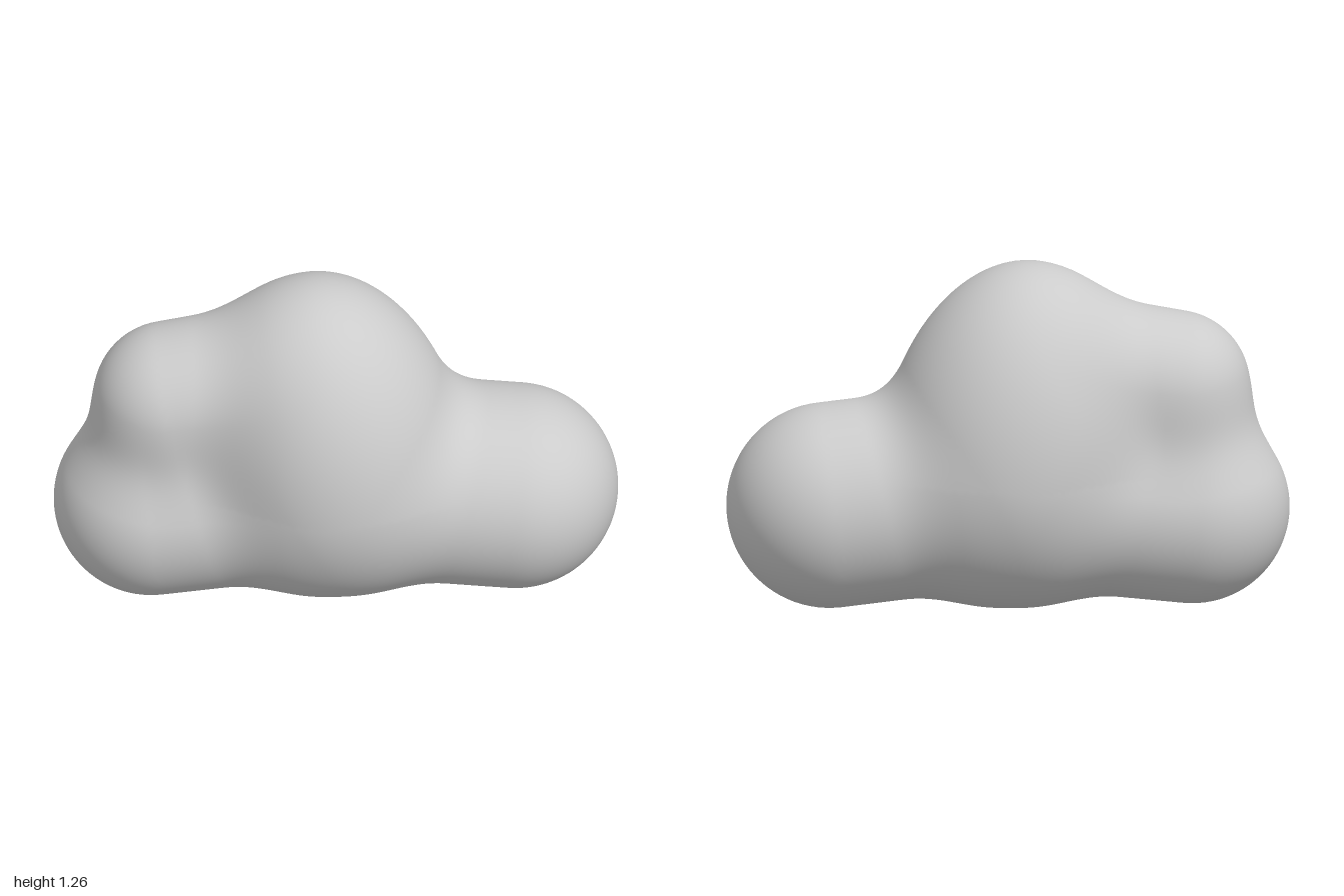
import * as THREE from 'three';

const V = (x, y, z = 0) => new THREE.Vector3(x, y, z);

// Distance to a rounded bar from a to b
function capsule(p, a, b, r) {
  const ab = b.clone().sub(a);
  const h = THREE.MathUtils.clamp(p.clone().sub(a).dot(ab) / ab.lengthSq(), 0, 1);
  return p.distanceTo(a.clone().addScaledVector(ab, h)) - r;
}

// Distance to the tall egg: taller above its waist than below, leaning a little to -x
function egg(p) {
  const y = p.y - 0.54;
  const q = V(p.x + 0.01 + 0.085 * Math.max(y, 0), y, p.z);
  const radii = V(0.472, y > 0 ? 0.715 : 0.538, 0.472);
  const a = q.clone().divide(radii);
  const k = a.length();
  return k * (k - 1) / a.divide(radii).length();
}

// Soft union with blend width k
function blend(a, b, k) {
  const h = Math.max(k - Math.abs(a - b), 0);
  return Math.min(a, b) - h * h / (4 * k);
}

const puffs = {
  right: [V(0.635, 0.38), V(0.2, 0.425), 0.365],
  leftLow: [V(-0.655, 0.345), V(-0.2, 0.4), 0.345],
  leftHigh: [V(-0.59, 0.79), V(-0.2, 0.87), 0.27],
};

function cloud(p) {
  const left = blend(capsule(p, ...puffs.leftLow), capsule(p, ...puffs.leftHigh), 0.2);
  return blend(blend(left, egg(p), 0.12), capsule(p, ...puffs.right), 0.12);
}

function cloudNormal(p) {
  const e = 0.002;
  const slope = (d) => cloud(p.clone().add(d)) - cloud(p.clone().sub(d));
  return V(slope(V(e, 0)), slope(V(0, e)), slope(V(0, 0, e))).normalize();
}

export function createModel() {
  const group = new THREE.Group();
  group.name = 'cloud';

  // Shrink a fine ball onto the cloud surface along rays to its middle
  const geometry = new THREE.IcosahedronGeometry(1, 40);
  const pos = geometry.attributes.position;
  const normal = geometry.attributes.normal;
  const middle = V(-0.05, 0.45);
  const stretch = V(1, 0.65, 0.5);
  const dir = V(0, 0);
  const p = V(0, 0);
  for (let i = 0; i < pos.count; i++) {
    dir.fromBufferAttribute(pos, i).multiply(stretch).normalize();
    let t = 1.3;
    for (let step = 0; step < 60; step++) {
      const d = cloud(p.copy(middle).addScaledVector(dir, t));
      if (Math.abs(d) < 0.0002) break;
      t -= d * 0.85;
    }
    p.copy(middle).addScaledVector(dir, t);
    const n = cloudNormal(p);
    pos.setXYZ(i, p.x, p.y, p.z);
    normal.setXYZ(i, n.x, n.y, n.z);
  }

  const body = new THREE.Mesh(geometry, new THREE.MeshStandardMaterial({ color: 0xcccccc }));
  body.name = 'cloudBody';
  group.add(body);
  return group;
}
